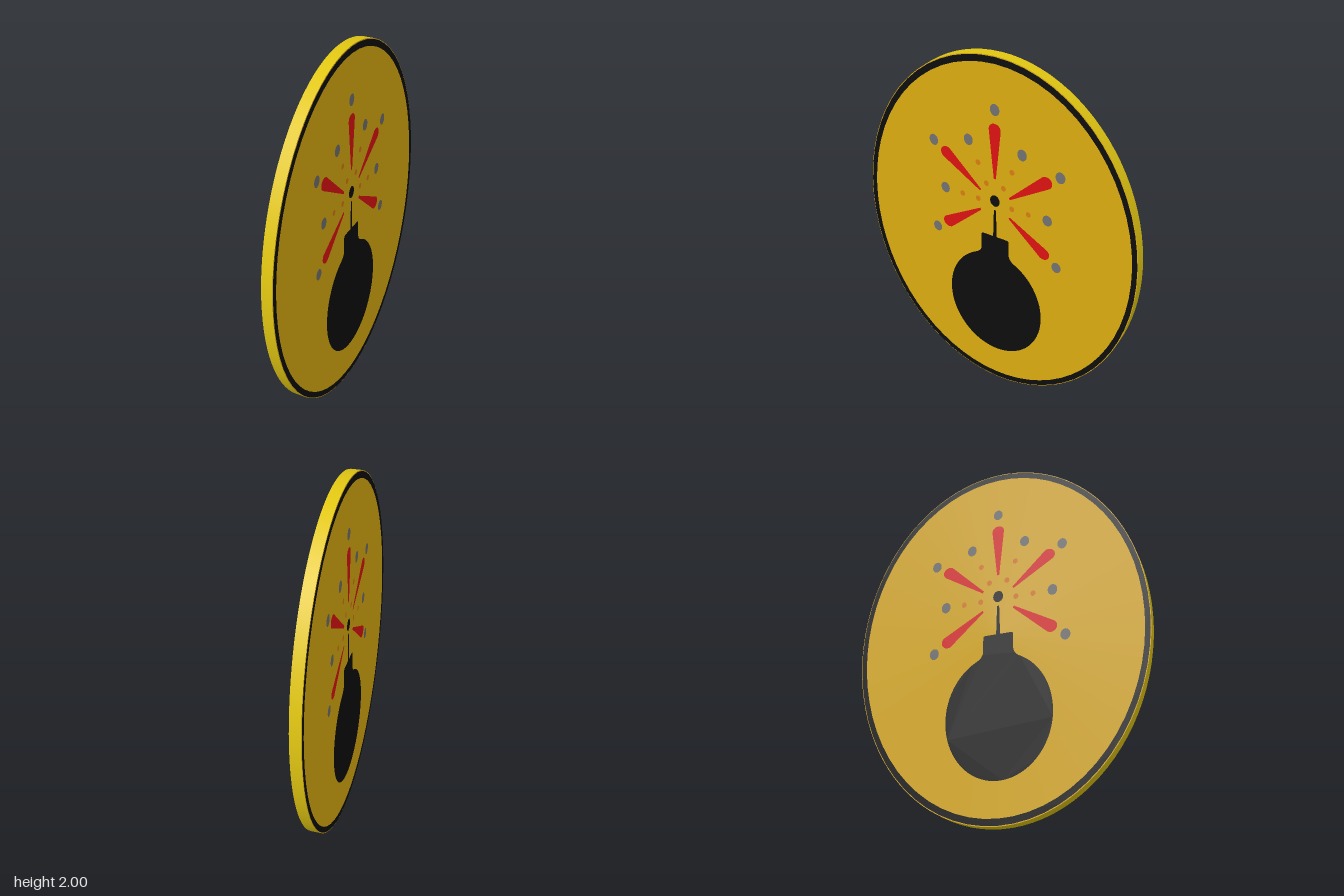
import * as THREE from 'three';

const mat = (name, color) => Object.assign(new THREE.MeshStandardMaterial({ color }), { name });

export function createModel() {
  const gold = mat('face gold', 0xd9ab10);
  const yellow = mat('rim yellow', 0xe0c512);
  const black = mat('black', 0x0d0d0d);
  const red = mat('red', 0xdc1212);
  const grey = mat('grey', 0x707070);
  const orange = mat('orange', 0xd67c10);

  const RX = 0.8, RY = 1, HALF = 0.029, LIFT = 0.0015;
  const badge = new THREE.Group();
  badge.name = 'badge';

  // Oval disc: yellow edge, gold faces
  const discGeo = new THREE.CylinderGeometry(1, 1, 2 * HALF, 96);
  discGeo.rotateX(Math.PI / 2);
  discGeo.scale(RX, RY, 1);
  const disc = new THREE.Mesh(discGeo, [yellow, gold, gold]);
  disc.name = 'disc';
  badge.add(disc);

  const oval = (x, y, rx, ry) => new THREE.Shape().absellipse(x, y, rx, ry, 0, Math.PI * 2);

  // Teardrop streak from a narrow start to a round end
  function streak(x0, y0, x1, y1) {
    const a = Math.atan2(y1 - y0, x1 - x0), r = 0.034, w = 0.006;
    const px = -Math.sin(a), py = Math.cos(a);
    const s = new THREE.Shape();
    s.moveTo(x0 + px * w, y0 + py * w);
    s.lineTo(x0 - px * w, y0 - py * w);
    s.absarc(x1, y1, r, a - Math.PI / 2, a + Math.PI / 2, false);
    s.closePath();
    return s;
  }

  // Border ring
  const ring = oval(0, 0, RX * 0.996, RY * 0.996);
  ring.holes.push(new THREE.Path().absellipse(0, 0, RX * 0.962, RY * 0.962, 0, Math.PI * 2, true));

  // Bomb outline: round body with a flared neck and rounded cap
  const bomb = new THREE.Shape();
  const bx = 0.287, by = 0.335, cy = 0.555, t = 1.13;
  bomb.absellipse(0, cy, bx, by, Math.PI - t, 2 * Math.PI + t);
  bomb.quadraticCurveTo(0.086, 0.875, 0.083, 0.91);
  bomb.lineTo(0.083, 0.985);
  bomb.quadraticCurveTo(0.083, 1.0, 0.068, 1.0);
  bomb.lineTo(-0.068, 1.0);
  bomb.quadraticCurveTo(-0.083, 1.0, -0.083, 0.985);
  bomb.lineTo(-0.083, 0.91);
  bomb.quadraticCurveTo(-0.086, 0.875, bx * Math.cos(Math.PI - t), cy + by * Math.sin(Math.PI - t));

  // Fuse
  const fuse = new THREE.Shape();
  fuse.moveTo(-0.011, 1.0);
  fuse.lineTo(0.011, 1.0);
  fuse.lineTo(0.006, 1.165);
  fuse.lineTo(-0.006, 1.165);

  const mirrored = (points, make) => points.flatMap(p => [make(1, p), make(-1, p)]);

  const streaks = [
    streak(0, 1.35, 0, 1.623),
    ...mirrored([[0.085, 1.26, 0.287, 1.418], [0.085, 1.145, 0.287, 0.998]],
      (s, [x0, y0, x1, y1]) => streak(s * x0, y0, s * x1, y1)),
  ];
  const smoke = [
    oval(0, 1.73, 0.026, 0.031),
    ...mirrored([[0.153, 1.53], [0.363, 1.47], [0.302, 1.205], [0.363, 0.94]],
      (s, [x, y]) => oval(s * x, y, 0.026, 0.031)),
  ];
  const sparks = mirrored([[0.098, 1.417], [0.05, 1.31], [0.1, 1.204], [0.195, 1.204]],
    (s, [x, y]) => oval(s * x, y, 0.014, 0.016));

  // Painted picture, the same on both faces
  function picture(name) {
    const g = new THREE.Group();
    g.name = name;
    const paint = (part, shapes, material, offset) => {
      const geo = new THREE.ShapeGeometry(shapes, 32);
      geo.translate(0, offset, HALF + LIFT);
      const m = new THREE.Mesh(geo, material);
      m.name = part;
      g.add(m);
    };
    paint('border', ring, black, 0);
    paint('bomb', bomb, black, -1);
    paint('fuse', fuse, black, -1);
    paint('fuseTip', oval(0, 1.22, 0.028, 0.033), black, -1);
    paint('flames', streaks, red, -1);
    paint('smokeDots', smoke, grey, -1);
    paint('sparks', sparks, orange, -1);
    return g;
  }
  const back = picture('backPicture');
  back.rotation.y = Math.PI;
  badge.add(picture('frontPicture'), back);

  // Stand the badge on the ground, turned slightly
  badge.position.y = 1;
  badge.rotation.y = THREE.MathUtils.degToRad(12.4);
  const model = new THREE.Group();
  model.name = 'model';
  model.add(badge);
  return model;
}
